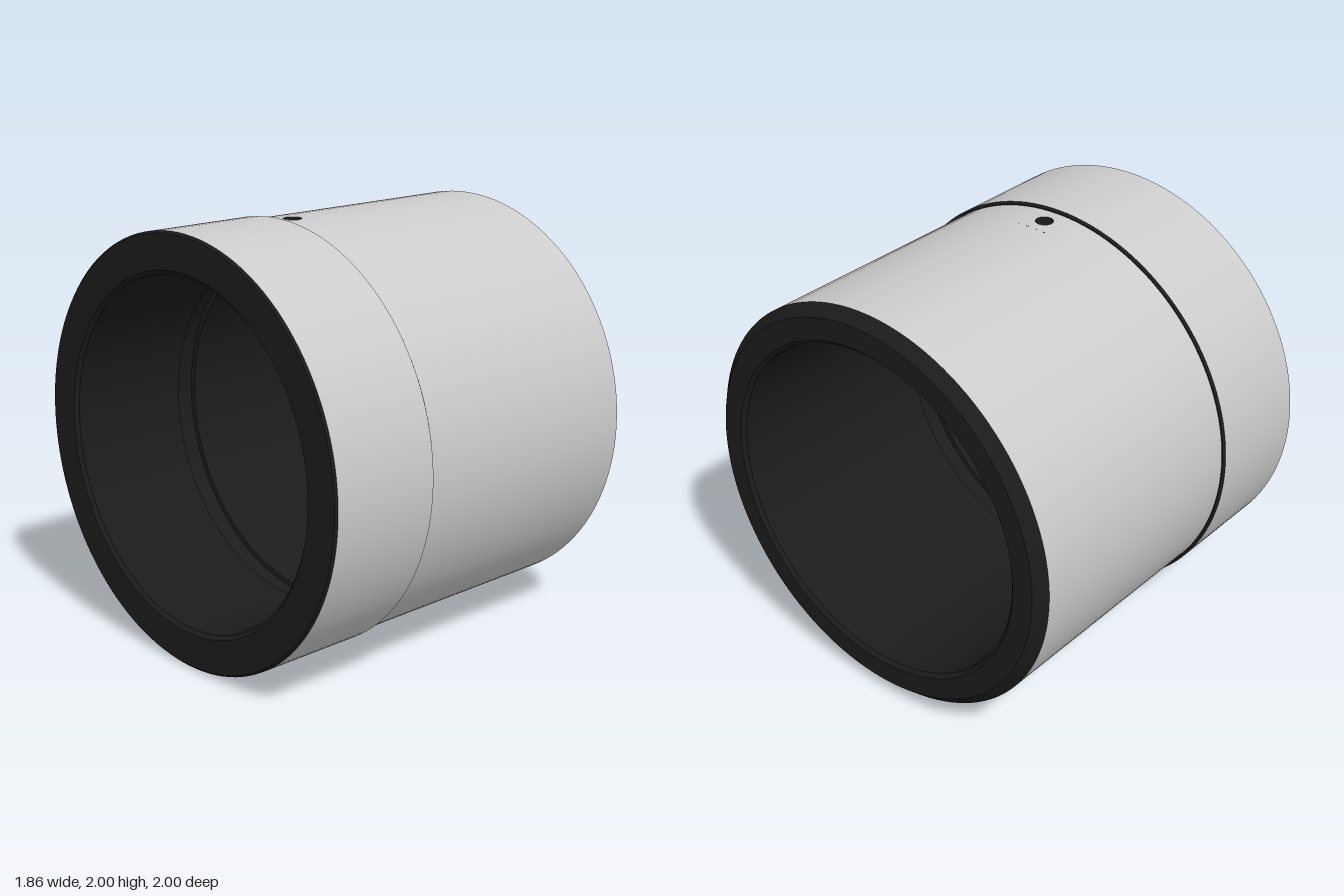
import * as THREE from 'three';

const SEG = 128;
const HOLE_X = -0.27;              // position of the oil holes along the axis
const D = 2 * (2 * Math.PI / SEG); // half angle of the surface patch around a hole
const R_OUT = 0.985, R_BORE = 0.812, R_GROOVE = 0.838;
const R_HOLE = 0.042, R_DRILL = 0.016;

// Turned surface about the x axis; each [x, radius] step is its own sharp-edged band
function turn(group, name, material, profile, phiStart = 0, phiLength = Math.PI * 2) {
  const part = new THREE.Group();
  part.name = name;
  const segments = Math.round(SEG * phiLength / (Math.PI * 2));
  for (let i = 0; i < profile.length - 1; i++) {
    const pts = [profile[i], profile[i + 1]].map(([x, r]) => new THREE.Vector2(r, x));
    const geo = new THREE.LatheGeometry(pts, segments, phiStart, phiLength);
    geo.rotateZ(-Math.PI / 2);
    const mesh = new THREE.Mesh(geo, material);
    mesh.name = name + 'Band';
    part.add(mesh);
  }
  group.add(part);
}

// Curved square patch at the top of a cylinder of radius R with a round hole in it
function holePatch(R, rHole, halfX, inward) {
  const rings = 4, perSide = 8, n = perSide * 4;
  const pos = [], nor = [], idx = [];
  const corners = [[1, -1], [1, 1], [-1, 1], [-1, -1], [1, -1]];
  const sign = inward ? -1 : 1;
  for (let j = 0; j <= rings; j++) {
    for (let i = 0; i <= n; i++) {
      const side = Math.min(3, Math.floor(i / perSide));
      const f = i / perSide - side;
      const a = -Math.PI / 4 + (i / n) * Math.PI * 2;
      const [c0, c1] = [corners[side], corners[side + 1]];
      const k = j / rings;
      const sx = THREE.MathUtils.lerp(c0[0], c1[0], f) * halfX;
      const su = THREE.MathUtils.lerp(c0[1], c1[1], f) * D;
      const x = THREE.MathUtils.lerp(Math.cos(a) * rHole, sx, k);
      const th = THREE.MathUtils.lerp(Math.sin(a) * rHole / R, su, k);
      pos.push(HOLE_X + x, R * Math.cos(th), R * Math.sin(th));
      nor.push(0, sign * Math.cos(th), sign * Math.sin(th));
      if (j < rings && i < n) {
        const p = j * (n + 1) + i, q = p + n + 1;
        if (inward) idx.push(p, q, p + 1, p + 1, q, q + 1);
        else idx.push(p, p + 1, q, p + 1, q + 1, q);
      }
    }
  }
  const geo = new THREE.BufferGeometry();
  geo.setAttribute('position', new THREE.Float32BufferAttribute(pos, 3));
  geo.setAttribute('normal', new THREE.Float32BufferAttribute(nor, 3));
  geo.setIndex(idx);
  return geo;
}

export function createModel() {
  const model = new THREE.Group();
  model.name = 'flangedBushing';
  const steel = new THREE.MeshStandardMaterial({ color: 0xcccccc });
  const dark = new THREE.MeshStandardMaterial({ color: 0x1c1c1c });
  const body = new THREE.Group();
  body.name = 'body';
  body.position.y = 1;
  model.add(body);

  const hx = 0.09, gx = 0.05; // half widths of the drilled band and the bore groove

  // Outside: collar, shoulder and barrel
  turn(body, 'collar', steel, [[-0.92, 1], [-0.375, 1]]);
  turn(body, 'shoulder', dark, [[-0.375, 1], [-0.365, 0.99], [-0.365, R_OUT]]);
  turn(body, 'barrelNeck', steel, [[-0.365, R_OUT], [HOLE_X - hx, R_OUT]]);
  turn(body, 'barrel', steel, [[HOLE_X + hx, R_OUT], [0.88, R_OUT]]);

  // Ends with chamfers, and the bore on both sides of its groove
  turn(body, 'leadInEnd', dark, [[0.88, R_OUT], [0.93, 0.935], [0.93, 0.83], [0.912, R_BORE]]);
  turn(body, 'bore', dark, [[0.912, R_BORE], [HOLE_X + gx, R_BORE], [HOLE_X + gx, R_GROOVE]]);
  turn(body, 'collarBore', dark, [[HOLE_X - gx, R_GROOVE], [HOLE_X - gx, R_BORE], [-0.912, R_BORE]]);
  turn(body, 'collarEnd', dark, [[-0.912, R_BORE], [-0.93, 0.83], [-0.93, 0.99], [-0.92, 1]]);

  for (const turnX of [0, Math.PI]) {
    // Half of the drilled bands between the two holes
    const start = Math.PI / 2 + turnX + D, length = Math.PI - 2 * D;
    turn(body, 'drilledBand', steel, [[HOLE_X - hx, R_OUT], [HOLE_X + hx, R_OUT]], start, length);
    turn(body, 'oilGroove', dark, [[HOLE_X + gx, R_GROOVE], [HOLE_X - gx, R_GROOVE]], start, length);

    // Stepped oil hole through the wall, top and bottom
    const hole = new THREE.Group();
    hole.name = 'oilHole';
    hole.rotation.x = turnX;
    const add = (name, geo, mat) => {
      const mesh = new THREE.Mesh(geo, mat);
      mesh.name = name;
      hole.add(mesh);
    };
    add('holeSurround', holePatch(R_OUT, R_HOLE, hx, false), steel);
    add('grooveSurround', holePatch(R_GROOVE, R_DRILL, gx, true), dark);
    const steps = [[R_HOLE, R_OUT], [R_HOLE, 0.9], [R_DRILL, 0.9], [R_DRILL, R_GROOVE]];
    for (let i = 0; i < 3; i++) {
      const pts = [steps[i], steps[i + 1]].map(([r, y]) => new THREE.Vector2(r, y));
      add('holeWall', new THREE.LatheGeometry(pts, 32).translate(HOLE_X, 0, 0), dark);
    }
    body.add(hole);
  }
  return model;
}
